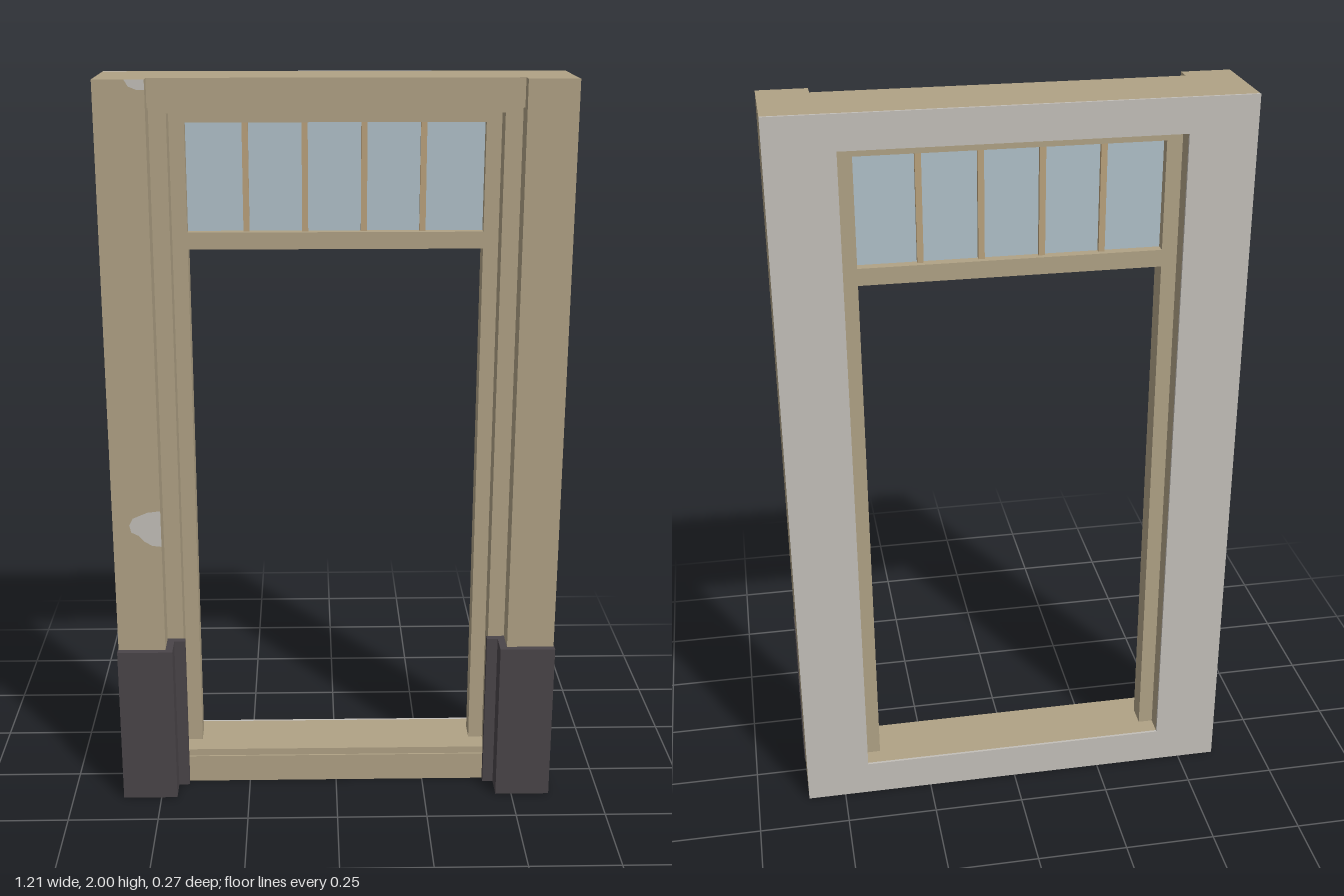
import * as THREE from 'three';

const flat = (name, color) => {
  const m = new THREE.MeshStandardMaterial({ color });
  m.name = name;
  return m;
};

export function createModel() {
  const group = new THREE.Group();
  const stone = flat('sandstone', 0xb0a285);
  const plaster = flat('plaster', 0xc3bfb9);
  const plinth = flat('dark plinth', 0x4a4549);
  const glass = flat('glass', 0xb0c1c9);
  const wood = flat('glazing wood', 0xbaa27d);

  const add = (name, geometry, material) => {
    const mesh = new THREE.Mesh(geometry, material);
    mesh.name = name;
    group.add(mesh);
    return mesh;
  };
  // Box given by its extents on each axis
  const box = (name, material, x0, x1, y0, y1, z0, z1) => {
    const g = new THREE.BoxGeometry(x1 - x0, y1 - y0, z1 - z0);
    g.translate((x0 + x1) / 2, (y0 + y1) / 2, (z0 + z1) / 2);
    return add(name, g, material);
  };
  const rect = (C, w, y0, y1) => new C([[-w, y0], [w, y0], [w, y1], [-w, y1]].map(p => new THREE.Vector2(...p)));
  // Rectangular slab with a rectangular opening
  const slab = (name, material, outer, inner, z0, z1) => {
    const shape = rect(THREE.Shape, ...outer);
    shape.holes.push(rect(THREE.Path, ...inner));
    const g = new THREE.ExtrudeGeometry(shape, { depth: z1 - z0, bevelEnabled: false });
    g.translate(0, 0, z0);
    return add(name, g, material);
  };

  // Wall, plastered back face and stepped inner frame
  slab('wall', stone, [0.605, 0, 2], [0.43, 0.08, 1.91], -0.128, 0.045);
  slab('backPlaster', plaster, [0.605, 0, 2], [0.43, 0.1, 1.91], -0.135, -0.128);
  slab('windowFrame', stone, [0.43, 0.08, 1.91], [0.39, 0.099, 1.88], -0.08, -0.02);
  box('sill', stone, -0.43, 0.43, 0.08, 0.1, -0.128, 0.04);
  box('lintel', stone, -0.475, 0.475, 1.926, 2, 0.045, 0.075);

  // Pilasters and the dark plinths that wrap around them
  for (const s of [-1, 1]) {
    const xs = [s * 0.475, s * 0.605].sort((a, b) => a - b);
    box('pilaster', stone, xs[0], xs[1], 0.01, 2, 0.045, 0.117);
    const profile = [[0.607, 0.045], [0.607, 0.135], [0.455, 0.135], [0.455, 0.065], [0.425, 0.065], [0.425, 0.045]];
    const g = new THREE.ExtrudeGeometry(
      new THREE.Shape(profile.map(([x, z]) => new THREE.Vector2(s * x, -z))),
      { depth: 0.455, bevelEnabled: false });
    g.rotateX(-Math.PI / 2);
    add('plinth', g, plinth);
  }

  // Transom window
  box('transom', stone, -0.39, 0.39, 1.55, 1.595, -0.08, -0.02);
  box('glassPane', glass, -0.39, 0.39, 1.595, 1.88, -0.053, -0.047);
  for (let i = 0; i < 4; i++) {
    const x = -0.235 + i * 0.155;
    box('glazingBar', wood, x - 0.008, x + 0.008, 1.595, 1.88, -0.065, -0.035);
  }

  // Chipped spots showing pale plaster
  const chip = (name, points) => {
    const g = new THREE.ShapeGeometry(new THREE.Shape(points.map(p => new THREE.Vector2(...p))));
    g.translate(0, 0, 0.118);
    add(name, g, plaster);
  };
  chip('middleChip', [[-0.475, 0.763], [-0.475, 0.866], [-0.51, 0.862], [-0.55, 0.845], [-0.56, 0.825],
    [-0.555, 0.805], [-0.535, 0.795], [-0.52, 0.778], [-0.5, 0.766]]);
  chip('topChip', [[-0.475, 1.975], [-0.475, 2], [-0.525, 2], [-0.515, 1.983], [-0.495, 1.975]]);

  return group;
}
